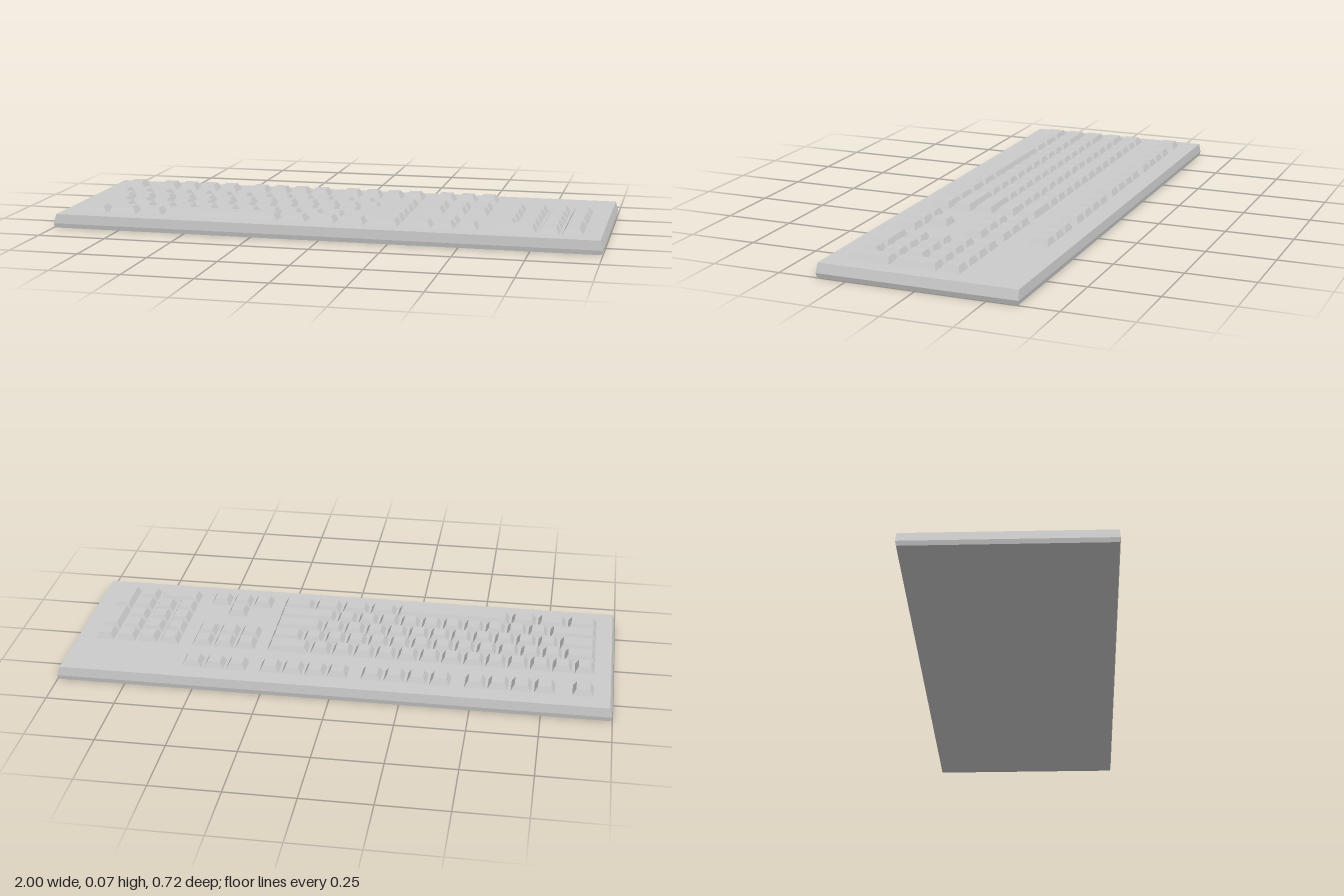
import * as THREE from 'three';

const material = new THREE.MeshStandardMaterial({ color: 0xcccccc, flatShading: true });
const DECK = 0.05, KEY_TOP = 0.073, GAP = 0.004;
const UNIT = 0.0807, PITCH = 0.082, LEFT = -0.935;
// Row boundaries from back to front; row -1 is the separate top row
const rowZ = (i) => (i < 0 ? -0.29 : -0.1285 + 0.0845 * i);

// Block whose top face is drawn in by sideInset, backInset and frontInset
function taperedBlock(x0, x1, y0, y1, z0, z1, sideInset, backInset, frontInset) {
  const geo = new THREE.BoxGeometry(1, 1, 1);
  const p = geo.attributes.position;
  for (let i = 0; i < p.count; i++) {
    const top = p.getY(i) > 0 ? 1 : 0;
    p.setXYZ(i,
      p.getX(i) < 0 ? x0 + sideInset * top : x1 - sideInset * top,
      top ? y1 : y0,
      p.getZ(i) < 0 ? z0 + backInset * top : z1 - frontInset * top);
  }
  geo.computeVertexNormals();
  return geo;
}

function add(parent, name, geo) {
  const mesh = new THREE.Mesh(geo, material);
  mesh.name = name;
  parent.add(mesh);
}

// One keycap spanning x0..x1, starting at a row and covering `rows` rows
function addKey(parent, x0, x1, row, rows = 1) {
  const z0 = rowZ(row), z1 = z0 + 0.0845 * rows;
  add(parent, 'key', taperedBlock(x0 + GAP, x1 - GAP, DECK - 0.002, KEY_TOP,
    z0 + GAP, z1 - GAP, 0.014, 0.009, 0.014));
}

// A run of keys with the given widths, laid out from x
function addRun(parent, x, row, widths) {
  for (const w of widths) {
    addKey(parent, x, x + w, row);
    x += w;
  }
}

const repeat = (n, w) => new Array(n).fill(w);

function section(parent, name) {
  const group = new THREE.Group();
  group.name = name;
  parent.add(group);
  return group;
}

export function createModel() {
  const model = new THREE.Group();
  model.name = 'keyboard';

  // Case: narrow flared lower rim, then walls leaning in to the deck
  const body = section(model, 'case');
  add(body, 'lowerCase', taperedBlock(-0.996, 0.996, 0, 0.016, -0.358, 0.358, -0.004, -0.003, -0.003));
  add(body, 'upperCase', taperedBlock(-1, 1, 0.016, DECK, -0.361, 0.361, 0.01, 0.003, 0.003));

  // Top row: escape and three banks of four
  const topRowKeys = section(model, 'topRowKeys');
  addKey(topRowKeys, LEFT, LEFT + 0.084, -1);
  for (const x of [-0.799, -0.427, -0.057]) addRun(topRowKeys, x, -1, repeat(4, 0.0825));

  // Main typing block, widths in key units
  const mainKeys = section(model, 'mainKeys');
  const rows = [
    [...repeat(13, 1), 2],
    [1.5, ...repeat(12, 1), 1.5],
    [1.75, ...repeat(11, 1), 2.25],
    [2.25, ...repeat(10, 1), 2.75],
    [1.45, 1.4, 1.25, 5.4, 1.32, 1.33, 1.33, 1.52],
  ];
  rows.forEach((widths, i) => addRun(mainKeys, LEFT, i, widths.map((w) => w * UNIT)));

  // Navigation cluster and arrows
  const navigationKeys = section(model, 'navigationKeys');
  const navX = 0.313;
  for (const row of [-1, 0, 1, 4]) addRun(navigationKeys, navX, row, repeat(3, PITCH));
  addKey(navigationKeys, navX + PITCH, navX + 2 * PITCH, 3);

  // Number pad with two tall keys and one wide key
  const numberPad = section(model, 'numberPad');
  const padX = 0.601;
  addRun(numberPad, padX, 0, repeat(4, PITCH));
  for (const row of [1, 2, 3]) addRun(numberPad, padX, row, repeat(3, PITCH));
  addRun(numberPad, padX, 4, [2 * PITCH, PITCH]);
  for (const row of [1, 3]) addKey(numberPad, padX + 3 * PITCH, padX + 4 * PITCH, row, 2);

  return model;
}
